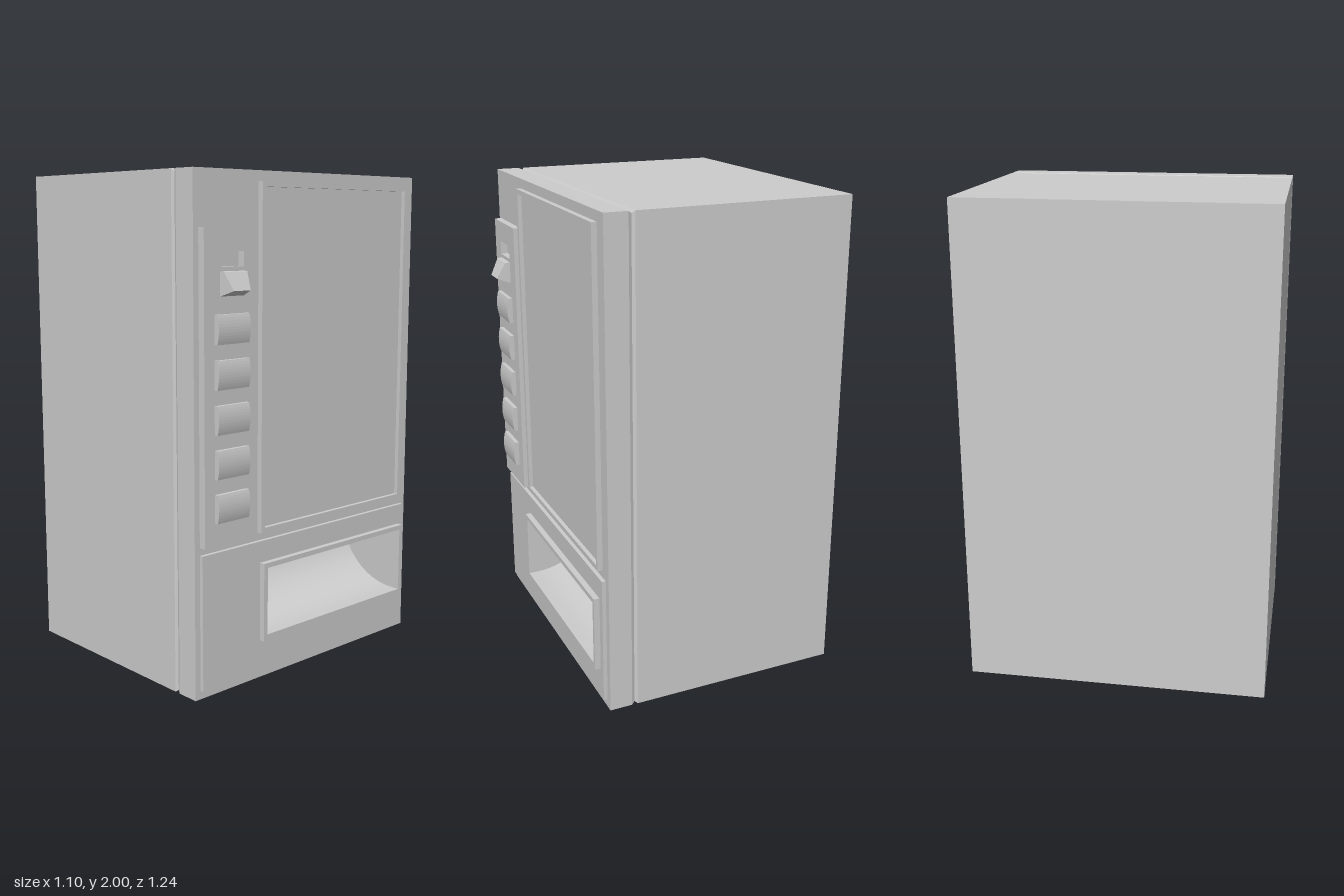
import * as THREE from 'three';
import { ConvexGeometry } from 'three/addons/geometries/ConvexGeometry.js';

const grey = new THREE.MeshStandardMaterial({ color: 0xcccccc });
grey.name = 'light grey';

// The machine faces +x, so panels are drawn in a plane of (-z, y).
// Rectangles are [zMin, zMax, yMin, yMax].
function trace(path, [z0, z1, y0, y1]) {
  path.moveTo(-z1, y0);
  path.lineTo(-z0, y0);
  path.lineTo(-z0, y1);
  path.lineTo(-z1, y1);
  path.closePath();
  return path;
}

function shapeOf(rect, holes = []) {
  const shape = trace(new THREE.Shape(), rect);
  for (const hole of holes) shape.holes.push(trace(new THREE.Path(), hole));
  return shape;
}

export function createModel() {
  const model = new THREE.Group();
  model.name = 'vendingMachine';

  function add(name, geometry) {
    const mesh = new THREE.Mesh(geometry, grey);
    mesh.name = name;
    model.add(mesh);
    return mesh;
  }

  // A raised plate from x0 to x1, with optional rectangular openings
  function panel(name, rect, x0, x1, holes) {
    const geometry = new THREE.ExtrudeGeometry(shapeOf(rect, holes), { depth: x1 - x0, bevelEnabled: false });
    geometry.rotateY(Math.PI / 2).translate(x0, 0, 0);
    return add(name, geometry);
  }

  const opening = [-0.545, 0.275, 0.19, 0.465];

  // Cabinet shell: a four-sided lathe along x, with a V groove behind the door
  const profile = [[0, -0.55], [1, -0.55], [1, 0.34], [0.99, 0.352], [1, 0.365], [1, 0.46]]
    .map(([r, x]) => new THREE.Vector2(r * Math.SQRT2, x));
  const shell = new THREE.LatheGeometry(profile, 4).toNonIndexed();
  shell.rotateY(Math.PI / 4).rotateZ(-Math.PI / 2).scale(1, 1, 0.62).translate(0, 1, 0);
  shell.computeVertexNormals();
  add('cabinet', shell);

  // Door face, open at the delivery bay
  const face = new THREE.ShapeGeometry(shapeOf([-0.62, 0.62, 0, 2], [opening]));
  add('doorFace', face.rotateY(Math.PI / 2).translate(0.46, 0, 0));

  // Display window and its frame
  const glass = [-0.545, 0.275, 0.625, 1.94];
  panel('windowFrame', [-0.56, 0.295, 0.605, 1.96], 0.46, 0.482, [glass]);
  panel('windowGlass', glass, 0.46, 0.465);

  // Lower panel and the delivery bay surround
  panel('lowerPanel', [-0.59, 0.595, 0.035, 0.572], 0.46, 0.476, [opening]);
  panel('deliveryFrame', [-0.56, 0.295, 0.165, 0.485], 0.476, 0.5, [opening]);

  // Delivery bay: a curved chute, flat ceiling and two side walls
  const [z0, z1, y0, y1] = opening;
  const front = 0.46, depth = 0.29, steps = 20;
  const width = z1 - z0, midZ = (z0 + z1) / 2;
  const chute = new THREE.PlaneGeometry(width, 1, 1, steps);
  chute.rotateY(Math.PI / 2);
  const pos = chute.attributes.position;
  for (let i = 0; i < pos.count; i++) {
    const a = (pos.getY(i) + 0.5) * Math.PI / 2;
    pos.setXYZ(i, front - depth * Math.sin(a), y1 - (y1 - y0) * Math.cos(a), pos.getZ(i) + midZ);
  }
  chute.computeVertexNormals();
  add('deliveryChute', chute);
  const ceiling = new THREE.PlaneGeometry(depth, width).rotateX(Math.PI / 2);
  add('deliveryCeiling', ceiling.translate(front - depth / 2, y1, midZ));

  const side = new THREE.Shape();
  side.moveTo(front, y1);
  for (let i = 0; i <= steps; i++) {
    const a = (1 - i / steps) * Math.PI / 2;
    side.lineTo(front - depth * Math.sin(a), y1 - (y1 - y0) * Math.cos(a));
  }
  add('deliveryWallRight', new THREE.ShapeGeometry(side).translate(0, 0, z0));
  const wall = new THREE.ShapeGeometry(side);
  const index = wall.index.array;
  index.reverse(); // turn the mirrored wall to face into the bay
  wall.computeVertexNormals();
  add('deliveryWallLeft', wall.translate(0, 0, z1));

  // Control panel with a recessed coin slot
  panel('controlPanel', [0.328, 0.595, 0.602, 1.79], 0.46, 0.49, [[0.398, 0.522, 1.647, 1.703]]);

  // Selection buttons with a slightly domed front
  const section = new THREE.Shape();
  section.moveTo(0.49, -0.055);
  section.lineTo(0.506, -0.055);
  section.quadraticCurveTo(0.522, 0, 0.506, 0.055);
  section.lineTo(0.49, 0.055);
  section.closePath();
  for (let i = 0; i < 5; i++) {
    const button = new THREE.ExtrudeGeometry(section, { depth: 0.16, bevelEnabled: false, curveSegments: 10 });
    add('selectionButton' + (i + 1), button.translate(0, 1.421 - i * 0.168, 0.385));
  }

  // Sloping coin spout, tapering towards its tip
  const spout = [];
  for (const s of [-1, 1]) {
    spout.push(
      new THREE.Vector3(0.488, 1.632, 0.458 + s * 0.06),
      new THREE.Vector3(0.51, 1.63, 0.458 + s * 0.058),
      new THREE.Vector3(0.546, 1.562, 0.458 + s * 0.042),
      new THREE.Vector3(0.488, 1.54, 0.458 + s * 0.06),
    );
  }
  add('coinSpout', new ConvexGeometry(spout));

  return model;
}
